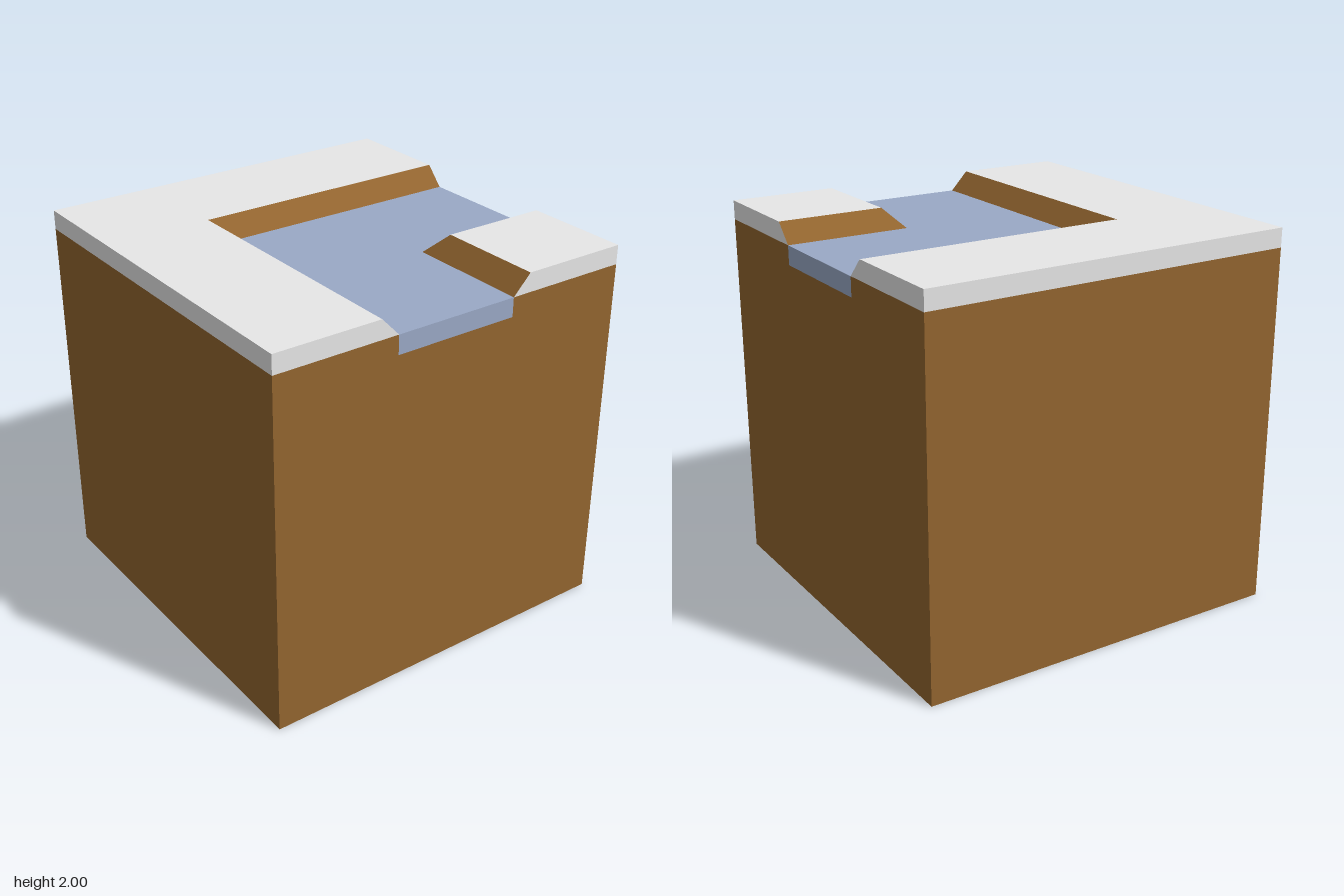
import * as THREE from 'three';

const soilMat = new THREE.MeshStandardMaterial({ color: 0x93652f });
soilMat.name = 'soil brown';
const snowMat = new THREE.MeshStandardMaterial({ color: 0xe7e7e7 });
snowMat.name = 'snow white';
const waterMat = new THREE.MeshStandardMaterial({ color: 0x9aa9c6 });
waterMat.name = 'water blue';

const BED = 1.8, SHORE = 1.9, TOP = 2; // heights of river bed, water surface, snow surface
const LOW = 0.335, HIGH = 0.43;        // half width of the river at the water and at the bank top

// Outlines as [x, z], counterclockwise from above; c is the half width of the channel
const outerL = (c) => [[-1, -1], [-1, 1], [1, 1], [1, c], [-c, c], [-c, -1]];
const innerCorner = (c) => [[c, -c], [1, -c], [1, -1], [c, -1]];
const riverL = (c) => [[-c, -1], [-c, c], [1, c], [1, -c], [c, -c], [c, -1]];

// Solid between two outlines; the edges listed in bankEdges use the second material
function loft(name, lower, upper, y0, y1, materials, bankEdges = []) {
  const pos = [];
  const geometry = new THREE.BufferGeometry();
  const put = (p, y) => pos.push(p[0], y, p[1]);
  const close = (start, material) => geometry.addGroup(start, pos.length / 3 - start, material);

  // Top and bottom
  const tris = THREE.ShapeUtils.triangulateShape(upper.map(([x, z]) => new THREE.Vector2(x, -z)), []);
  for (const [a, b, c] of tris) {
    [a, b, c].forEach((i) => put(upper[i], y1));
    [c, b, a].forEach((i) => put(lower[i], y0));
  }
  close(0, 0);

  // Sides
  lower.forEach((a, i) => {
    const j = (i + 1) % lower.length;
    const start = pos.length / 3;
    put(a, y0); put(lower[j], y0); put(upper[j], y1);
    put(a, y0); put(upper[j], y1); put(upper[i], y1);
    close(start, bankEdges.includes(i) ? 1 : 0);
  });

  geometry.setAttribute('position', new THREE.Float32BufferAttribute(pos, 3));
  geometry.computeVertexNormals();
  const mesh = new THREE.Mesh(geometry, materials);
  mesh.name = name;
  return mesh;
}

export function createModel() {
  const model = new THREE.Group();
  model.name = 'snowyRiverBendTile';

  // Deep soil block below the river bed
  const soil = new THREE.Mesh(new THREE.BoxGeometry(2, BED, 2), soilMat);
  soil.name = 'soilBlock';
  soil.position.y = BED / 2;
  model.add(soil);

  // Soil on both sides of the river, snow with sloping soil banks above it
  const sides = [['outer', outerL, [3, 4]], ['inner', innerCorner, [0, 3]]];
  for (const [name, outline, banks] of sides) {
    model.add(loft(name + 'Soil', outline(LOW), outline(LOW), BED, SHORE, [soilMat, soilMat]));
    model.add(loft(name + 'Snow', outline(LOW), outline(HIGH), SHORE, TOP, [snowMat, soilMat], banks));
  }

  // River running from the back edge to the model's left edge
  model.add(loft('river', riverL(LOW), riverL(LOW), BED, SHORE, [waterMat, waterMat]));
  return model;
}
